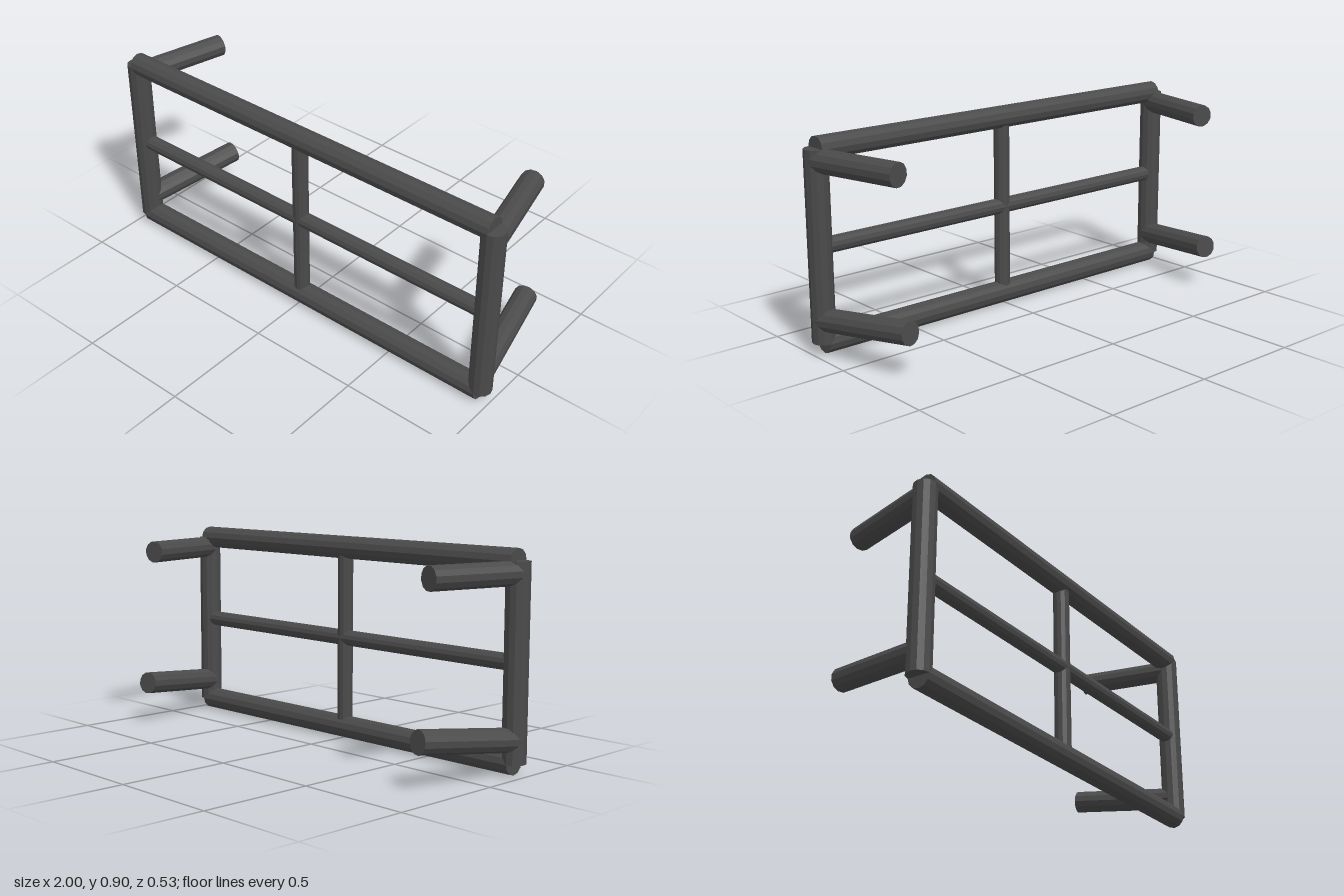
import * as THREE from 'three';

const UP = new THREE.Vector3(0, 1, 0);

export function createModel() {
  const group = new THREE.Group();
  const darkMetal = new THREE.MeshStandardMaterial({ color: 0x4a4a4a, flatShading: true });
  darkMetal.name = 'darkMetal';

  // Faceted round bar between two points
  function bar(name, from, to, radius) {
    const a = new THREE.Vector3(...from);
    const b = new THREE.Vector3(...to);
    const dir = b.clone().sub(a);
    const mesh = new THREE.Mesh(new THREE.CylinderGeometry(radius, radius, dir.length(), 12), darkMetal);
    mesh.name = name;
    mesh.position.copy(a).add(b).multiplyScalar(0.5);
    mesh.quaternion.setFromUnitVectors(UP, dir.normalize());
    group.add(mesh);
  }

  const R = 0.05, THIN = 0.035;
  const X = 0.95, Z = 0.21, LOW = 0.054, HIGH = 0.859;

  // Outer frame rails
  bar('bottomRail', [-X, LOW, Z], [X, LOW, Z], R);
  bar('topRail', [-X, HIGH, Z], [X, HIGH, Z], R);

  // Thin cross bars
  bar('middleRail', [-X, 0.457, Z], [X, 0.457, Z], THIN);
  bar('centrePost', [0, LOW, Z], [0, HIGH, Z], THIN);

  // Side posts and rear mounting arms, mirrored
  for (const [side, s] of [['left', 1], ['right', -1]]) {
    bar(side + 'Post', [s * X, LOW, Z], [s * X, HIGH, Z], R);
    bar(side + 'UpperArm', [s * X, 0.811, Z], [s * 0.853, 0.811, -0.204], R);
    bar(side + 'LowerArm', [s * X, 0.148, Z], [s * 0.853, 0.196, -0.254], R);
  }

  return group;
}
